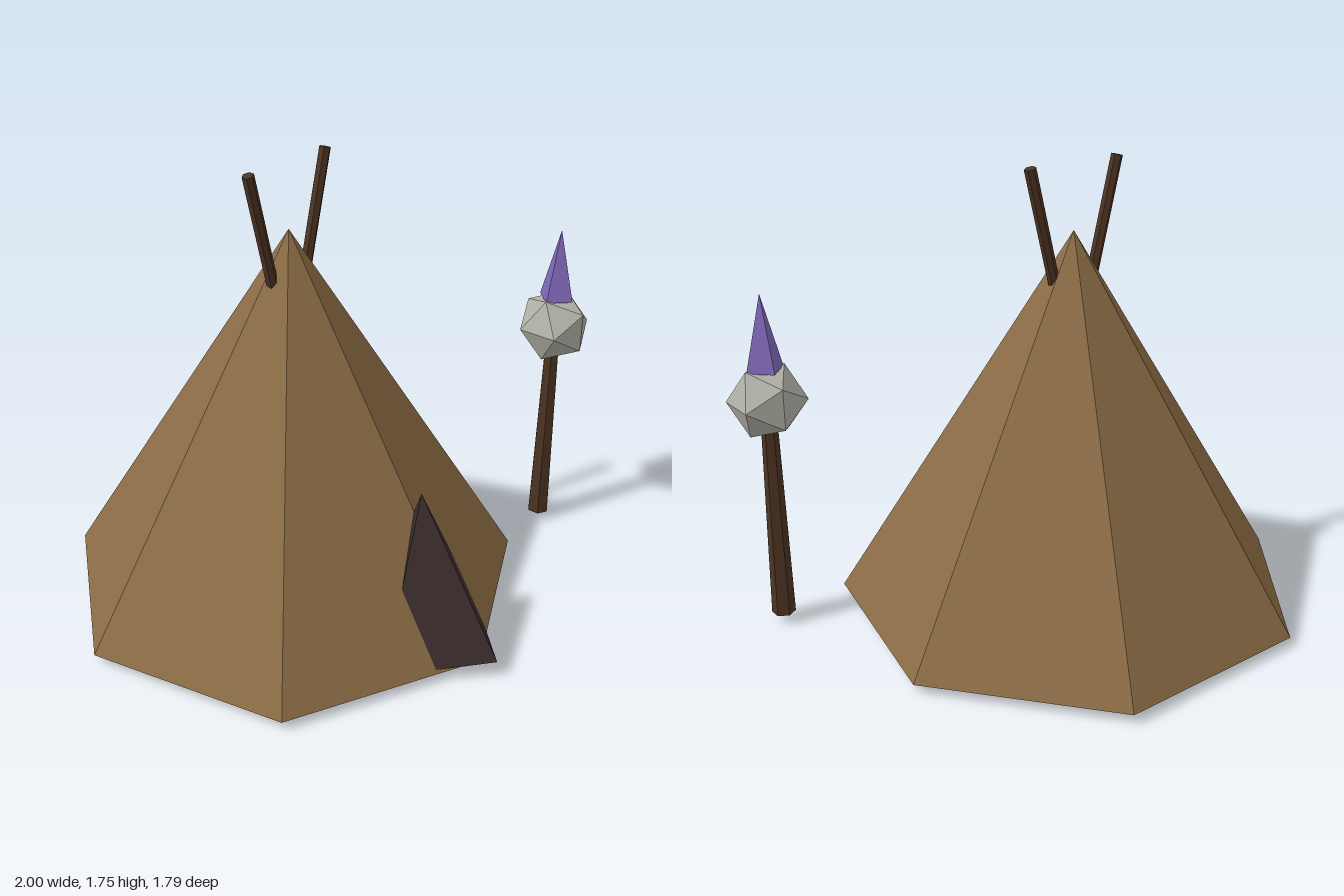
import * as THREE from 'three';

const mat = (name, color) => {
  const m = new THREE.MeshStandardMaterial({ color });
  m.name = name;
  m.flatShading = true;
  return m;
};

export function createModel() {
  const root = new THREE.Group();
  root.name = 'tentCamp';

  const hide = mat('tan hide', 0x8b6c46);
  const dark = mat('dark doorway', 0x3a2b2b);
  const wood = mat('brown wood', 0x4d3322);
  const stone = mat('grey stone', 0xb2b1a8);
  const crystal = mat('purple crystal', 0x8069ba);

  const add = (name, geometry, material, x, y, z, parent = root) => {
    const m = new THREE.Mesh(geometry, material);
    m.name = name;
    m.position.set(x, y, z);
    parent.add(m);
    return m;
  };

  // Tent: seven-sided cone with a corner facing the front
  const tent = new THREE.Group();
  tent.name = 'tent';
  tent.position.set(-0.12, 0, -0.077);
  root.add(tent);
  add('tentCover', new THREE.ConeGeometry(0.903, 1.455, 7), hide, 0, 0.7675, 0, tent);

  // Doorway: four-sided cone leaning back into the tent
  const doorGeometry = new THREE.ConeGeometry(0.29, 0.61, 4);
  doorGeometry.translate(0, 0.305, 0);
  const door = add('doorway', doorGeometry, dark, 0, 0.038, 0.687, tent);
  door.rotation.x = -0.12;

  // Two poles spreading out of the tent top
  for (const side of [-1, 1]) {
    const poleGeometry = new THREE.CylinderGeometry(0.022, 0.022, 0.6, 6);
    poleGeometry.translate(0, -0.3, 0);
    const pole = add(side < 0 ? 'rightPole' : 'leftPole', poleGeometry, wood,
      side * 0.2, 1.745, 0, tent);
    pole.rotation.z = -side * 0.25;
  }

  // Totem beside the tent: tapered post, faceted stone and crystal tip
  const totem = new THREE.Group();
  totem.name = 'totem';
  totem.position.set(0.875, 0, 0.45);
  root.add(totem);
  add('totemPost', new THREE.CylinderGeometry(0.03, 0.045, 0.8, 6), wood, 0, 0.44, 0, totem);
  add('totemStone', new THREE.IcosahedronGeometry(0.148, 0), stone, 0, 0.916, 0, totem);
  add('totemCrystal', new THREE.ConeGeometry(0.074, 0.285, 4), crystal, 0, 1.177, 0, totem);

  return root;
}
